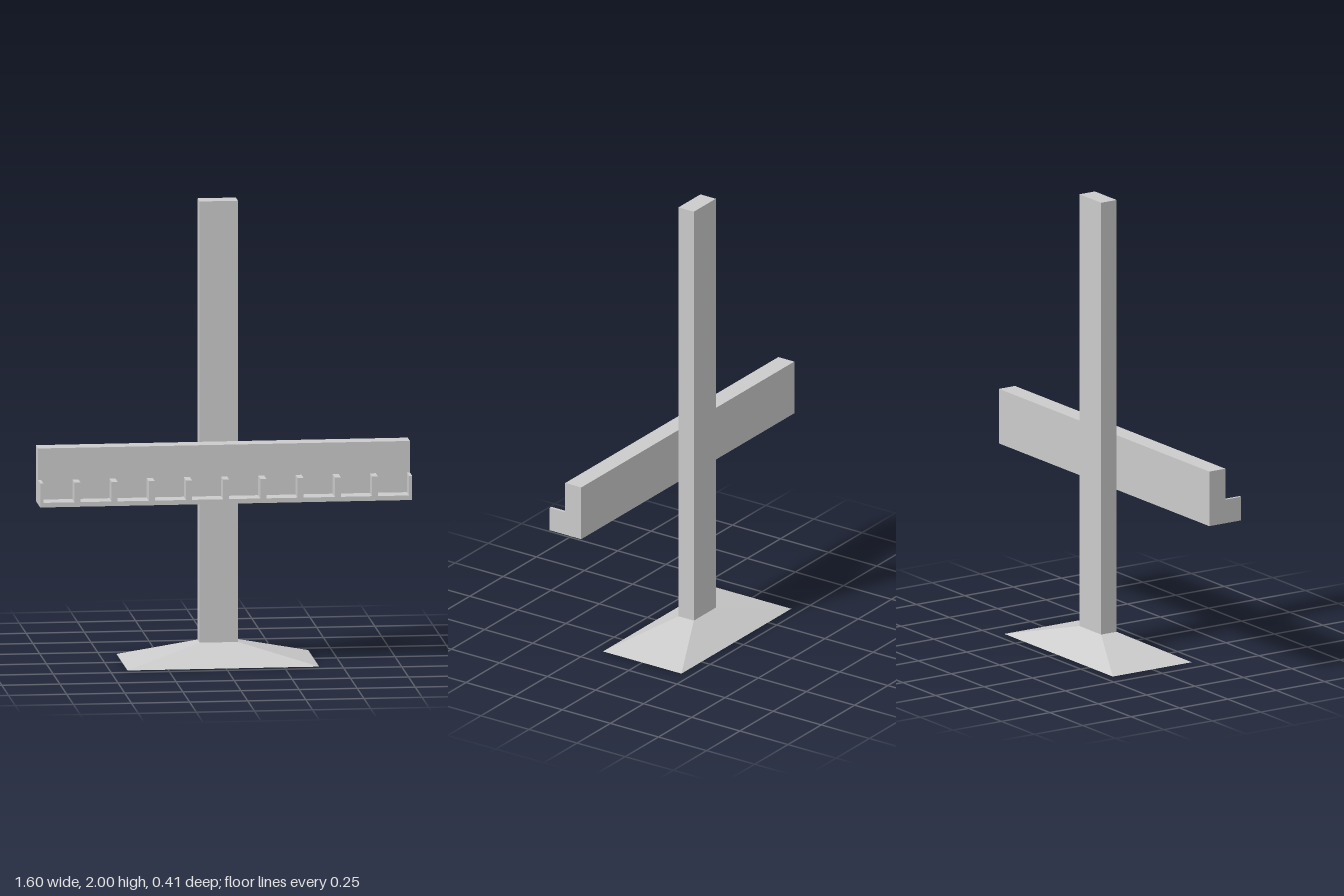
import * as THREE from 'three';

const material = new THREE.MeshStandardMaterial({ color: 0xcccccc, flatShading: true });

const POST_X = -0.0125, POST_W = 0.165, POST_D = 0.08;
const BASE_W = 0.825, BASE_D = 0.408, BASE_H = 0.085;
const RAIL_W = 1.6, RAIL_BOTTOM = 0.715, RAIL_TOP = 0.957;
const PLATE_BACK = POST_D / 2, PLATE_FRONT = 0.123, LEDGE_FRONT = 0.204;
const LEDGE_TOP = 0.735, DIVIDER_TOP = 0.82;

function addMesh(parent, name, geometry, x = 0, y = 0, z = 0) {
  const mesh = new THREE.Mesh(geometry, material);
  mesh.name = name;
  mesh.position.set(x, y, z);
  parent.add(mesh);
  return mesh;
}

// Box whose top narrows to the post's footprint
function baseGeometry() {
  const geometry = new THREE.BoxGeometry(BASE_W, BASE_H, BASE_D);
  const p = geometry.attributes.position;
  for (let i = 0; i < p.count; i++) {
    if (p.getY(i) > 0) {
      p.setX(i, Math.sign(p.getX(i)) * POST_W / 2);
      p.setZ(i, Math.sign(p.getZ(i)) * POST_D / 2);
    }
  }
  geometry.computeVertexNormals();
  return geometry;
}

// L-shaped section (z, y) swept along x
function railGeometry() {
  const section = new THREE.Shape([
    [PLATE_BACK, RAIL_BOTTOM], [LEDGE_FRONT, RAIL_BOTTOM], [LEDGE_FRONT, LEDGE_TOP],
    [PLATE_FRONT, LEDGE_TOP], [PLATE_FRONT, RAIL_TOP], [PLATE_BACK, RAIL_TOP],
  ].map(([z, y]) => new THREE.Vector2(z, y)));
  return new THREE.ExtrudeGeometry(section, { depth: RAIL_W, bevelEnabled: false })
    .translate(0, 0, -RAIL_W / 2)
    .rotateY(-Math.PI / 2);
}

export function createModel() {
  const model = new THREE.Group();
  model.name = 'postWithRack';

  // Foot and upright
  addMesh(model, 'base', baseGeometry(), POST_X, BASE_H / 2, 0);
  const postH = 2 - BASE_H;
  addMesh(model, 'post', new THREE.BoxGeometry(POST_W, postH, POST_D), POST_X, BASE_H + postH / 2, 0);

  // Rack: rail with upright dividers; the end dividers are half as thick
  const rack = new THREE.Group();
  rack.name = 'rack';
  model.add(rack);
  addMesh(rack, 'rail', railGeometry());

  const thickness = 0.026, height = DIVIDER_TOP - LEDGE_TOP, depth = LEDGE_FRONT - PLATE_FRONT;
  for (let i = -5; i <= 5; i++) {
    const isEnd = Math.abs(i) === 5;
    const w = isEnd ? thickness / 2 : thickness;
    const x = isEnd ? Math.sign(i) * (RAIL_W - w) / 2 : i * RAIL_W / 10;
    addMesh(rack, isEnd ? 'endDivider' : 'divider', new THREE.BoxGeometry(w, height, depth),
      x, LEDGE_TOP + height / 2, PLATE_FRONT + depth / 2);
  }
  return model;
}
